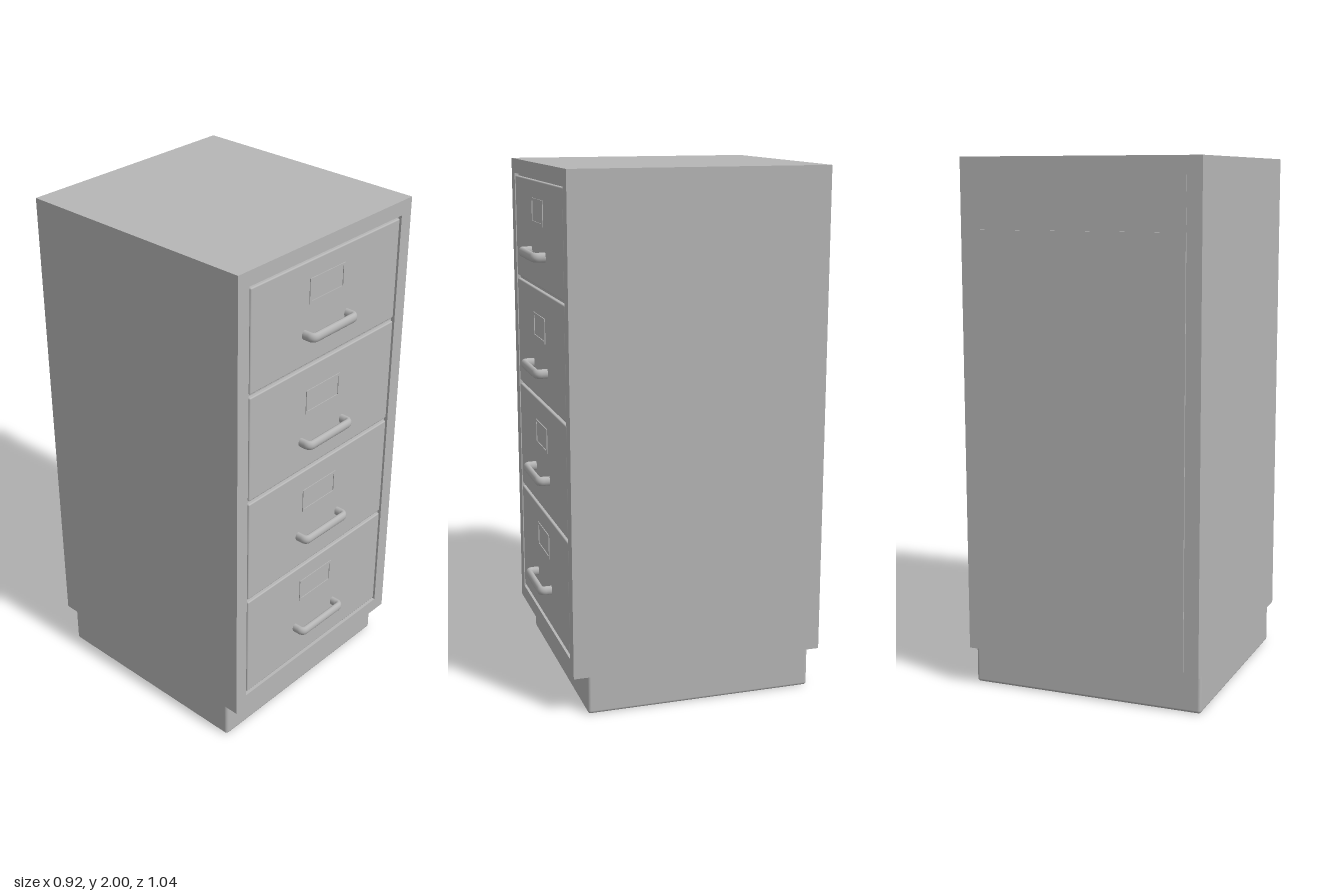
import * as THREE from 'three';
import { RoundedBoxGeometry } from 'three/addons/geometries/RoundedBoxGeometry.js';

const steel = new THREE.MeshStandardMaterial({ color: 0xb6b6b6 });
steel.name = 'grey steel';

function add(parent, name, geometry, x = 0, y = 0, z = 0) {
  const mesh = new THREE.Mesh(geometry, steel);
  mesh.name = name;
  mesh.position.set(x, y, z);
  parent.add(mesh);
  return mesh;
}

// Rectangle outline with corners at (x0, y0) and (x1, y1)
function rect(Type, x0, y0, x1, y1) {
  return new Type().moveTo(x0, y0).lineTo(x1, y0).lineTo(x1, y1).lineTo(x0, y1).closePath();
}

// Rectangular frame with a rectangular opening
function frame(outer, inner, depth) {
  const shape = rect(THREE.Shape, ...outer);
  shape.holes.push(rect(THREE.Path, ...inner));
  return new THREE.ExtrudeGeometry(shape, { depth, bevelEnabled: false });
}

// Bow handle: two legs joined to a bar by rounded corners
function handleGeometry() {
  const w = 0.116, out = 0.04, r = 0.018;
  const v = (x, z) => new THREE.Vector3(x, 0, z);
  const path = new THREE.CurvePath();
  path.add(new THREE.LineCurve3(v(-w, -0.01), v(-w, out - r)));
  path.add(new THREE.QuadraticBezierCurve3(v(-w, out - r), v(-w, out), v(-w + r, out)));
  path.add(new THREE.LineCurve3(v(-w + r, out), v(w - r, out)));
  path.add(new THREE.QuadraticBezierCurve3(v(w - r, out), v(w, out), v(w, out - r)));
  path.add(new THREE.LineCurve3(v(w, out - r), v(w, -0.01)));
  return new THREE.TubeGeometry(path, 80, 0.013, 12).scale(1, 1.4, 1);
}

export function createModel() {
  const model = new THREE.Group();
  model.name = 'filingCabinet';
  const front = 0.465;

  // Carcass with a shallow opening in the front
  add(model, 'carcass', new THREE.BoxGeometry(0.924, 1.85, 0.963), 0, 1.075, -0.0315);
  add(model, 'frontFrame', frame([-0.462, 0.15, 0.462, 2], [-0.407, 0.208, 0.407, 1.944], 0.015), 0, 0, 0.45);

  // Recessed plinth
  add(model, 'plinth', new RoundedBoxGeometry(0.914, 0.16, 0.88, 3, 0.012), 0, 0.08, -0.03);

  // Back panel, and the band above it
  add(model, 'backPanel', new THREE.BoxGeometry(0.81, 1.57, 0.012), 0, 0.955, -0.513);
  add(model, 'backTopBand', new THREE.BoxGeometry(0.81, 0.17, 0.006), 0, 1.85, -0.514);

  // Drawers: bottom, top, handle height, label height
  const drawers = [
    [0.222, 0.656, 0.373, 0.54],
    [0.67, 1.094, 0.814, 0.962],
    [1.108, 1.527, 1.23, 1.385],
    [1.541, 1.934, 1.664, 1.82],
  ];
  const handle = handleGeometry();
  const label = frame([-0.095, -0.048, 0.095, 0.048], [-0.085, -0.038, 0.085, 0.038], 0.004);
  for (const [bottom, top, handleY, labelY] of drawers) {
    const drawer = new THREE.Group();
    drawer.name = 'drawer';
    add(drawer, 'drawerFront', new RoundedBoxGeometry(0.798, top - bottom, 0.03, 2, 0.005), 0, (bottom + top) / 2, front - 0.016);
    add(drawer, 'drawerHandle', handle, -0.005, handleY, front);
    add(drawer, 'labelHolder', label, -0.005, labelY, front - 0.002);
    model.add(drawer);
  }
  return model;
}
